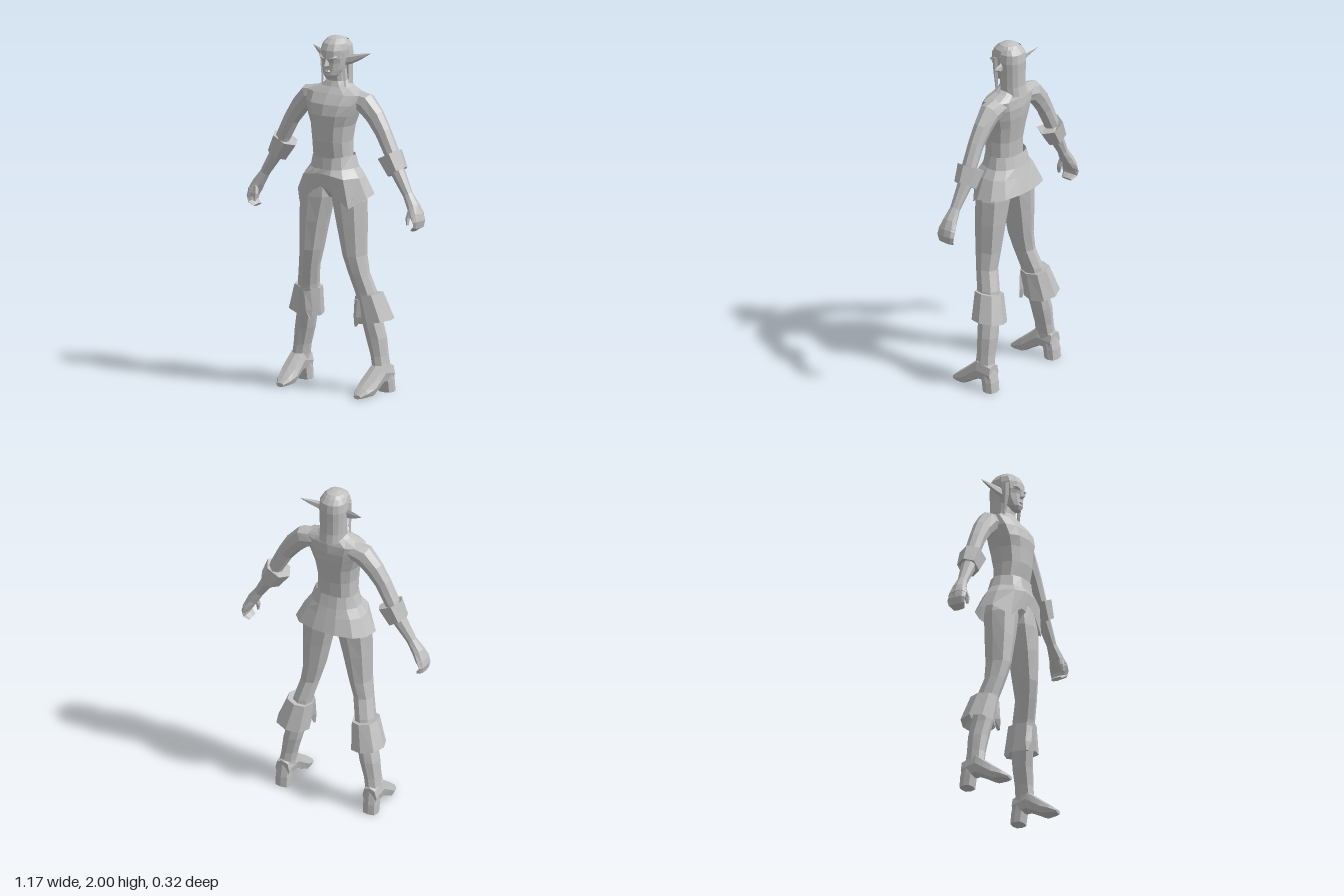
import * as THREE from 'three';

const V = (x, y, z) => new THREE.Vector3(x, y, z);

// Skin rings of points; ring order "up" with points running from +x towards +z faces outward
function skin(rings, { capA = false, capB = false, closed = true } = {}) {
  const n = rings[0].length, pos = [], idx = [];
  rings.forEach(r => r.forEach(p => pos.push(p.x, p.y, p.z)));
  for (let i = 0; i < rings.length - 1; i++)
    for (let j = 0; j < (closed ? n : n - 1); j++) {
      const k = (j + 1) % n, a = i * n + j, b = i * n + k, c = a + n, d = b + n;
      idx.push(a, c, b, b, c, d);
    }
  const last = (rings.length - 1) * n;
  for (let j = 1; j < n - 1; j++) {
    if (capA) idx.push(0, j, j + 1);
    if (capB) idx.push(last, last + j + 1, last + j);
  }
  const g = new THREE.BufferGeometry();
  g.setAttribute('position', new THREE.Float32BufferAttribute(pos, 3));
  g.setIndex(idx);
  const flat = g.toNonIndexed();
  flat.computeVertexNormals();
  return flat;
}

// Ring around c with half axes u and v; power below 1 makes it boxier
function ring(c, u, v, n = 8, power = 1, from = 0, to = Math.PI * 2, open = false) {
  const f = t => Math.sign(t) * Math.pow(Math.abs(t) < 1e-6 ? 0 : Math.abs(t), power);
  return Array.from({ length: n }, (_, i) => {
    const a = from + (to - from) * i / (open ? n - 1 : n);
    return c.clone().addScaledVector(u, f(Math.cos(a))).addScaledVector(v, f(Math.sin(a)));
  });
}

// Horizontal ring: height, centre x, half width, front z, back z, slope across x
const level = (y, cx, rx, zf, zb, slope = 0, n = 8, power = 0.9) =>
  ring(V(cx, y, (zf + zb) / 2), V(rx, slope, 0), V(0, 0, (zf - zb) / 2), n, power);

// Limb along a path in the xy plane: rows of x, y, z, half width, half depth
function limb(rows, opts, n = 8) {
  return skin(rows.map(([x, y, z, w, d], i) => {
    const a = rows[Math.max(i - 1, 0)], b = rows[Math.min(i + 1, rows.length - 1)];
    const t = V(b[0] - a[0], b[1] - a[1], 0).normalize();
    return ring(V(x, y, z), V(-t.y * w, t.x * w, 0), V(0, 0, d), n, 0.9);
  }).reverse(), opts);
}

function mirrored(geo) {
  const g = geo.clone(), p = g.attributes.position;
  for (let i = 0; i < p.count; i += 3) {
    const t = [0, 1, 2].map(k => V(-p.getX(i + k), p.getY(i + k), p.getZ(i + k)));
    [t[0], t[2], t[1]].forEach((q, k) => p.setXYZ(i + k, q.x, q.y, q.z));
  }
  g.computeVertexNormals();
  return g;
}

export function createModel() {
  const root = new THREE.Group();
  root.name = 'elfFigure';
  const grey = new THREE.MeshStandardMaterial({ color: 0xc0c0c0, flatShading: true, side: THREE.DoubleSide });
  grey.name = 'plainGrey';
  const add = (name, geo) => {
    const m = new THREE.Mesh(geo, grey);
    m.name = name;
    root.add(m);
  };
  const pair = (name, geo) => {
    add(name + 'Left', geo);
    add(name + 'Right', mirrored(geo));
  };
  const caps = { capA: true, capB: true };

  // Torso and neck: height, half width, front z, back z
  add('torso', skin([
    [1.09, 0.03, 0.04, -0.03], [1.16, 0.1, 0.09, -0.07], [1.32, 0.115, 0.105, -0.07],
    [1.42, 0.113, 0.125, -0.075], [1.51, 0.125, 0.128, -0.09], [1.57, 0.148, 0.132, -0.1],
    [1.63, 0.17, 0.115, -0.105], [1.685, 0.185, 0.075, -0.1], [1.72, 0.1, 0.045, -0.09],
    [1.75, 0.058, 0.03, -0.07], [1.83, 0.05, 0.035, -0.065],
  ].map(([y, w, f, b]) => level(y, 0, w, f, b, 0, 12, 0.85)), caps));

  // Head and face
  add('head', skin([
    [1.768, 0.024, 0.07, 0.03], [1.79, 0.045, 0.082, -0.02], [1.82, 0.06, 0.08, -0.05],
    [1.86, 0.07, 0.08, -0.075], [1.885, 0.074, 0.088, -0.085], [1.93, 0.077, 0.086, -0.1],
    [1.965, 0.07, 0.068, -0.09], [1.99, 0.047, 0.035, -0.06], [2.0, 0.018, 0.005, -0.025],
  ].map(([y, w, f, b]) => level(y, 0, w, f, b, 0, 12, 0.9)), caps));
  add('nose', skin([
    level(1.835, 0, 0.014, 0.088, 0.06, 0, 4), level(1.845, 0, 0.015, 0.107, 0.06, 0, 4),
    level(1.885, 0, 0.008, 0.09, 0.06, 0, 4),
  ], caps));
  add('lips', skin([
    level(1.8, 0, 0.018, 0.081, 0.06, 0, 6), level(1.811, 0, 0.022, 0.087, 0.06, 0, 6),
    level(1.822, 0, 0.016, 0.081, 0.06, 0, 6),
  ], caps));
  pair('brow', skin([
    level(1.878, 0.032, 0.024, 0.08, 0.05, 0.006, 6), level(1.888, 0.032, 0.026, 0.088, 0.05, 0.008, 6),
    level(1.897, 0.032, 0.024, 0.08, 0.05, 0.008, 6),
  ], caps));

  // Ears: long swept cones
  pair('ear', skin([
    [0.065, 1.87, -0.012, 0.03, 0.014], [0.1, 1.877, -0.025, 0.026, 0.012],
    [0.15, 1.895, -0.045, 0.015, 0.008], [0.195, 1.913, -0.065, 0.001, 0.001],
  ].map(([x, y, z, h, d]) => ring(V(x, y, z), V(0, h, 0), V(0, 0, -d), 6)), caps));

  // Hair: sheet around the back of the head, and a lock in front of each ear
  add('backHair', skin([
    [1.705, 0.078, -0.118], [1.76, 0.078, -0.108], [1.84, 0.08, -0.108],
    [1.9, 0.083, -0.11], [1.95, 0.078, -0.103], [1.978, 0.062, -0.08],
  ].map(([y, w, b]) => ring(V(0, y, -0.015), V(w, 0, 0), V(0, 0, -b - 0.015), 9, 0.85, Math.PI, Math.PI * 2, true)),
  { closed: false }));
  pair('hairLock', skin([
    [1.69, 0.083, 0.012, 0.002], [1.76, 0.074, 0.018, 0.01], [1.84, 0.071, 0.025, 0.016], [1.92, 0.07, 0.025, 0.016],
  ].map(([y, x, z, r]) => level(y, x, r * 0.7, z + r, z - r, 0, 4)), caps));

  // Tunic skirt: half outlines from front centre to back centre
  const outline = half => {
    const pts = half.map(p => V(...p));
    const other = pts.slice(1, -1).reverse().map(p => V(-p.x, p.y, p.z));
    return [...pts, ...other].reverse();
  };
  const hem = outline([[0, 1.17, 0.125], [0.06, 1.14, 0.13], [0.165, 1.055, 0.11], [0.234, 1.11, 0.03],
    [0.225, 1.12, -0.06], [0.17, 1.125, -0.12], [0.07, 1.13, -0.15], [0, 1.13, -0.152]]);
  const hip = outline([[0, 1.24, 0.132], [0.06, 1.235, 0.135], [0.135, 1.22, 0.118], [0.18, 1.22, 0.03],
    [0.178, 1.22, -0.04], [0.135, 1.22, -0.09], [0.06, 1.22, -0.117], [0, 1.22, -0.12]]);
  const beltLow = outline([[0, 1.265, 0.125], [0.055, 1.265, 0.12], [0.105, 1.265, 0.09], [0.142, 1.27, 0.025],
    [0.142, 1.27, -0.03], [0.105, 1.27, -0.075], [0.055, 1.27, -0.1], [0, 1.27, -0.102]]);
  const waist = outline([[0, 1.33, 0.115], [0.055, 1.33, 0.11], [0.095, 1.335, 0.08], [0.121, 1.338, 0.02],
    [0.121, 1.338, -0.02], [0.095, 1.338, -0.06], [0.05, 1.338, -0.082], [0, 1.338, -0.084]]);
  add('tunicSkirt', skin([hem, hip, beltLow, waist]));

  // Legs: height, centre x, half width, front z, back z
  pair('leg', skin([
    [0.1, 0.275, 0.045, 0.0, -0.12], [0.15, 0.272, 0.045, 0.0, -0.115], [0.21, 0.262, 0.046, -0.002, -0.11],
    [0.31, 0.242, 0.056, 0.005, -0.112], [0.4, 0.222, 0.054, 0.018, -0.105], [0.57, 0.195, 0.056, 0.045, -0.085],
    [0.68, 0.168, 0.056, 0.072, -0.052], [0.78, 0.146, 0.062, 0.093, -0.058], [0.95, 0.127, 0.083, 0.104, -0.07],
    [1.09, 0.108, 0.1, 0.106, -0.078], [1.22, 0.085, 0.078, 0.095, -0.07],
  ].map(r => level(...r)), caps));

  // Boot cuffs, flared downwards and folded back inside
  pair('bootCuff', skin([
    [0.45, 0.225, 0.06, 0.02, -0.11, 0.01], [0.4, 0.238, 0.098, 0.035, -0.155, 0.018],
    [0.555, 0.205, 0.075, 0.047, -0.115, 0.012], [0.55, 0.2, 0.05, 0.035, -0.08, 0.01],
  ].map(r => level(...r))));
  pair('bootCuffTab', skin([
    level(0.375, 0.155, 0.008, 0.035, 0.015, 0, 4), level(0.43, 0.17, 0.03, 0.045, 0.0, 0, 4),
    level(0.53, 0.18, 0.03, 0.045, 0.01, 0, 4),
  ], caps));

  // Feet: z, centre x, half width, bottom, top
  pair('foot', skin([
    [0.162, 0.262, 0.022, 0, 0.022], [0.125, 0.264, 0.045, 0, 0.055], [0.07, 0.268, 0.058, 0, 0.098],
    [0.02, 0.272, 0.055, 0.03, 0.14], [-0.03, 0.275, 0.049, 0.055, 0.185], [-0.12, 0.277, 0.043, 0.05, 0.16],
  ].map(([z, x, w, b, t]) => ring(V(x, (b + t) / 2, z), V(w, 0, 0), V(0, (t - b) / 2, 0), 8, 0.75)), caps));
  pair('heel', skin([
    level(0, 0.278, 0.045, -0.065, -0.142, 0, 8, 0.7), level(0.06, 0.278, 0.045, -0.055, -0.138, 0, 8, 0.7),
    level(0.13, 0.276, 0.042, -0.04, -0.122, 0, 8, 0.7),
  ], caps));

  // Arms, cuffs and hands
  pair('arm', limb([
    [0.1, 1.66, -0.025, 0.05, 0.06], [0.19, 1.638, -0.025, 0.062, 0.058], [0.255, 1.57, -0.025, 0.055, 0.047],
    [0.31, 1.49, -0.022, 0.047, 0.042], [0.365, 1.385, -0.022, 0.042, 0.042], [0.41, 1.28, -0.02, 0.04, 0.04],
    [0.485, 1.16, -0.012, 0.028, 0.028], [0.525, 1.1, -0.008, 0.032, 0.042], [0.552, 1.05, -0.006, 0.028, 0.058],
  ], caps));
  pair('armCuff', limb([
    [0.37, 1.35, -0.022, 0.035, 0.035], [0.355, 1.37, -0.022, 0.078, 0.073],
    [0.408, 1.277, -0.022, 0.063, 0.062], [0.4, 1.3, -0.022, 0.035, 0.035],
  ], {}, 6));
  pair('fingers', limb([
    [0.545, 1.065, -0.006, 0.028, 0.055], [0.564, 1.02, -0.006, 0.019, 0.058],
    [0.562, 0.99, -0.006, 0.014, 0.05], [0.532, 0.969, -0.006, 0.01, 0.035],
  ], caps));
  pair('thumb', limb([
    [0.528, 1.085, 0.02, 0.016, 0.018], [0.516, 1.04, 0.034, 0.012, 0.015], [0.52, 1.0, 0.04, 0.006, 0.009],
  ], caps, 6));

  return root;
}
